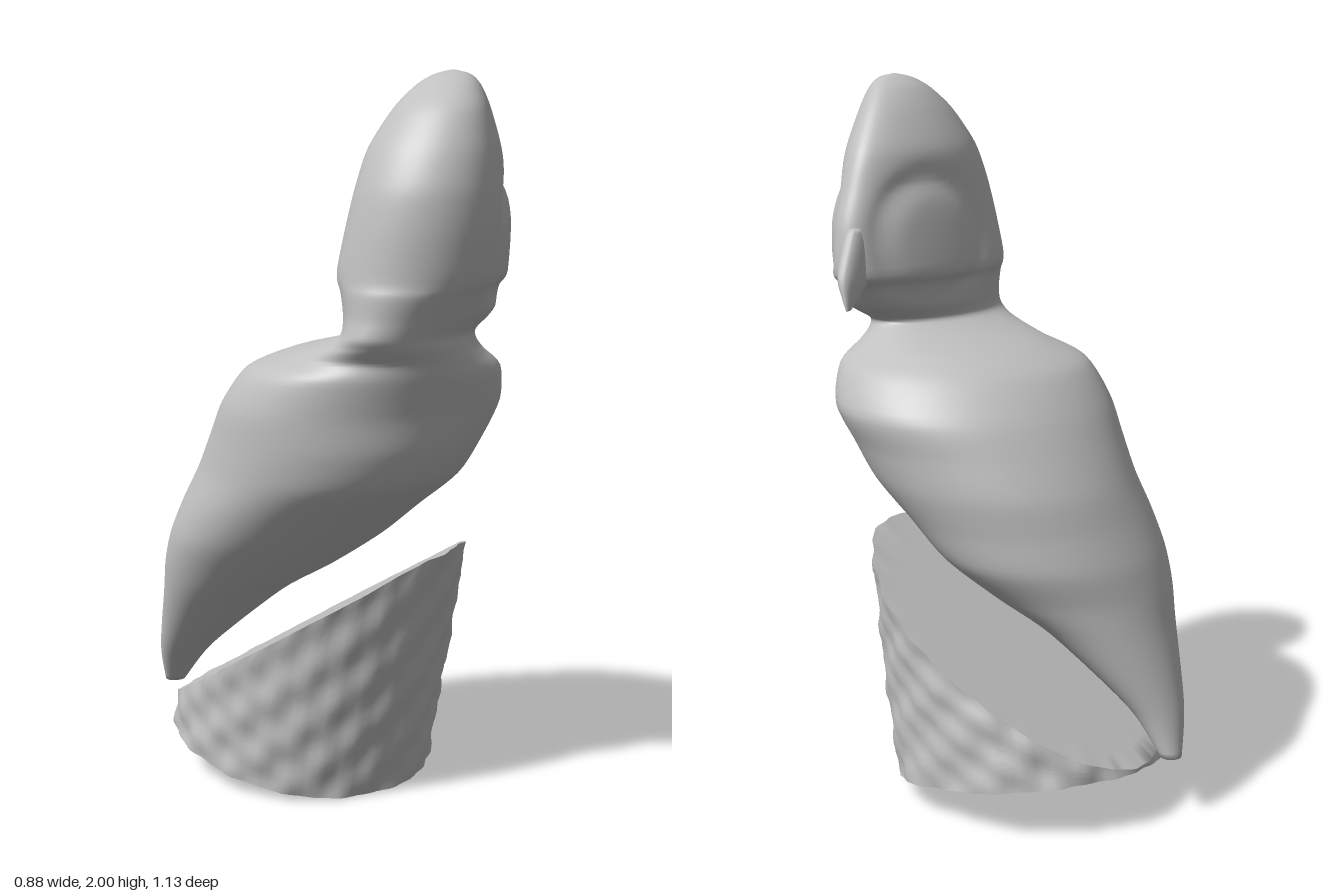
import * as THREE from 'three';
import { toCreasedNormals } from 'three/addons/utils/BufferGeometryUtils.js';

// Closed skin over rings stacked upward; point(i, t) gives [x, y, z]
function skin(rings, sides, point) {
  const pos = [], index = [];
  for (let i = 0; i < rings; i++) {
    for (let j = 0; j < sides; j++) pos.push(...point(i, (j / sides) * Math.PI * 2));
  }
  for (let i = 0; i < rings - 1; i++) {
    for (let j = 0; j < sides; j++) {
      const k = (j + 1) % sides;
      const a = i * sides + j, b = i * sides + k;
      const c = a + sides, d = b + sides;
      index.push(a, c, b, b, c, d);
    }
  }
  const geo = new THREE.BufferGeometry();
  geo.setAttribute('position', new THREE.Float32BufferAttribute(pos, 3));
  geo.setIndex(index);
  geo.computeVertexNormals();
  return geo;
}

// Smooth in-between of the section rows
function sampleRows(rows, s) {
  const n = rows.length - 1;
  const i = Math.min(Math.floor(s), n - 1), f = s - i;
  const at = (k) => rows[Math.max(0, Math.min(n, k))];
  return rows[i].map((p1, c) => {
    const p0 = at(i - 1)[c], p2 = at(i + 1)[c], p3 = at(i + 2)[c];
    const m1 = (p2 - p0) * 0.4, m2 = (p3 - p1) * 0.4;
    const f2 = f * f, f3 = f2 * f;
    return p1 * (2 * f3 - 3 * f2 + 1) + m1 * (f3 - 2 * f2 + f) + p2 * (3 * f2 - 2 * f3) + m2 * (f3 - f2);
  });
}

// The head is narrow across this direction and long along the beak
const CA = Math.cos(0.61), SA = Math.sin(0.61);

// Loft through slanted oval sections: [y, xMin, xMax, zMin, zMax, slant]
function loft(rows, steps, sides, pinchBeak) {
  const count = (rows.length - 1) * steps + 1;
  return skin(count + 2, sides, (ring, t) => {
    const i = Math.max(0, Math.min(count - 1, ring - 1));
    const [y, x0, x1, z0, z1, slant] = sampleRows(rows, i / steps);
    const open = ring === 0 || ring === count + 1 ? 0 : 1;
    const rx = Math.max(0, (x1 - x0) / 2) * open, rz = Math.max(0, (z1 - z0) / 2) * open;
    const cx = (x0 + x1) / 2, cz = (z0 + z1) / 2;
    const dx = rx * Math.cos(t), dz = rz * Math.sin(t + slant);
    const du = CA * dx - SA * dz;
    let dw = SA * dx + CA * dz;
    if (pinchBeak) {
      // Narrow toward the beak, and a shallow groove round each cheek
      const head = THREE.MathUtils.smoothstep(y, 1.32, 1.5);
      dw *= 1 - 0.42 * head * du / (Math.hypot(rx, rz) + 1e-4);
      const u = du + CA * cx - SA * cz;
      const r = Math.hypot(u - 0.02, y - 1.55);
      const groove = Math.exp(-(((r - 0.17) / 0.035) ** 2));
      dw -= Math.sign(dw) * Math.min(Math.abs(dw), 0.014 * groove * head);
    }
    return [cx + CA * du + SA * dw, y, cz - SA * du + CA * dw];
  });
}

// Tail, body, neck and head from bottom to crown
const birdRows = [
  [0.17, -0.31, -0.25, -0.545, -0.49, 0],
  [0.3, -0.36, -0.19, -0.52, -0.37, -0.1],
  [0.5, -0.41, -0.02, -0.475, -0.14, -0.1],
  [0.6, -0.43, 0.1, -0.455, 0, 0],
  [0.7, -0.44, 0.21, -0.44, 0.13, 0],
  [0.8, -0.43, 0.27, -0.41, 0.25, 0],
  [0.9, -0.41, 0.33, -0.38, 0.37, 0],
  [1.0, -0.4, 0.37, -0.33, 0.42, 0],
  [1.1, -0.39, 0.41, -0.27, 0.44, 0],
  [1.2, -0.35, 0.37, -0.18, 0.47, 0],
  [1.25, -0.27, 0.3, -0.08, 0.48, -0.1],
  [1.29, -0.24, 0.25, 0.08, 0.495, -0.3],
  [1.32, -0.235, 0.24, 0.16, 0.5, -0.4],
  [1.37, -0.22, 0.33, 0.12, 0.515, -0.45],
  [1.43, -0.21, 0.37, 0.09, 0.53, -0.48],
  [1.47, -0.2, 0.42, 0.05, 0.535, -0.48],
  [1.6, -0.18, 0.41, 0.065, 0.55, -0.48],
  [1.7, -0.16, 0.375, 0.09, 0.55, -0.48],
  [1.8, -0.12, 0.335, 0.12, 0.53, -0.45],
  [1.9, -0.05, 0.27, 0.19, 0.49, -0.4],
  [1.96, 0.02, 0.22, 0.25, 0.44, -0.3],
  [1.988, 0.07, 0.18, 0.3, 0.4, -0.2],
  [2.0, 0.12, 0.13, 0.34, 0.35, 0],
];

// Hooked tip hanging below the beak
const beakRows = [
  [1.39, 0.41, 0.43, 0.025, 0.045, -0.8],
  [1.42, 0.36, 0.435, 0.03, 0.1, -0.9],
  [1.48, 0.27, 0.435, 0.045, 0.2, -0.9],
  [1.6, 0.2, 0.38, 0.1, 0.28, -0.9],
];

// Leaning stump with a slanted foot and a slanted top
function stumpGeometry() {
  const sideRings = 26, discRings = 8;
  const total = discRings + sideRings + discRings;
  return skin(total, 110, (i, t) => {
    const onTop = i >= discRings + sideRings;
    let f = 1, k = 0;
    if (i < discRings) f = i / discRings;
    else if (onTop) { f = (total - 1 - i) / discRings; k = 1; }
    else k = (i - discRings) / (sideRings - 1);
    let x = -0.045 + 0.375 * f * Math.cos(t);
    let z = -0.17 + 0.41 * f * Math.sin(t);
    const foot = (0.2 * (0.24 - z)) / 1.04;
    const top = Math.max(foot + 0.01, Math.min(0.705, (0.49 + 0.32 * x + 0.52 * z) / 0.896));
    const y = foot + (top - foot) * k;
    // Weathered bark
    if (f === 1) {
      const rough = 0.007 * Math.sin(9 * t + 14 * y) * Math.sin(23 * y + 3 * t)
        + 0.005 * Math.sin(21 * t - 31 * y) * Math.sin(37 * y + 8 * t);
      x += rough * Math.cos(t);
      z += rough * Math.sin(t);
    }
    return [x + 0.03 * y, y, z + 0.2 * y];
  });
}

export function createModel() {
  const stone = new THREE.MeshStandardMaterial({ color: 0xc0c0c0 });
  stone.name = 'greyStone';
  const model = new THREE.Group();
  model.name = 'birdOnStump';
  const add = (name, geo) => {
    const mesh = new THREE.Mesh(geo, stone);
    mesh.name = name;
    model.add(mesh);
  };
  add('birdBody', loft(birdRows, 5, 80, true));
  add('beakTip', loft(beakRows, 6, 32, false));
  add('stump', toCreasedNormals(stumpGeometry(), 0.7));
  return model;
}
